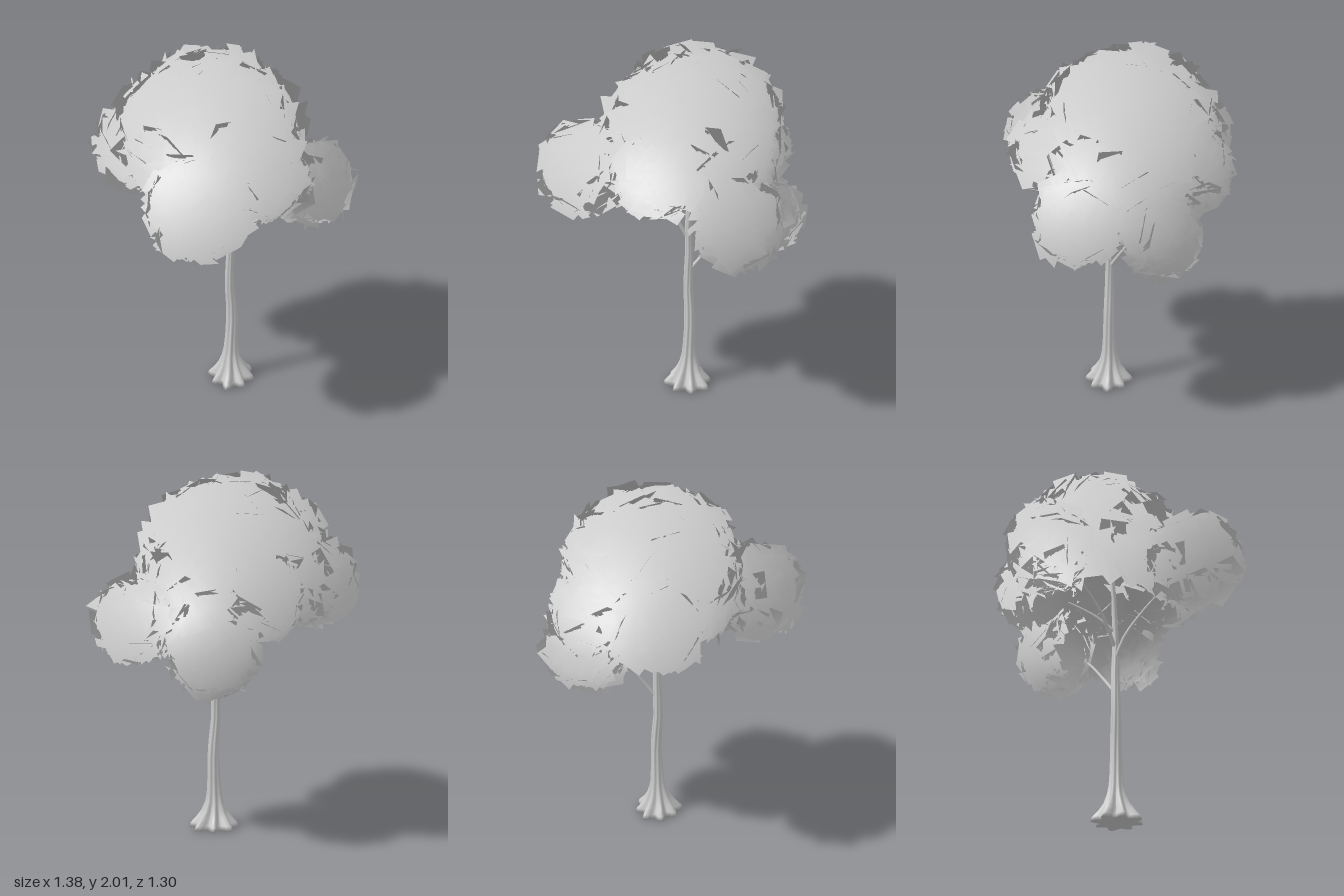
import * as THREE from 'three';

const grey = new THREE.MeshStandardMaterial({ color: 0xcccccc });
const leafGrey = new THREE.MeshStandardMaterial({ color: 0xcccccc, side: THREE.DoubleSide });

// all leaf cards are shaded as one round mass about this point
const SHADE_CENTRE = new THREE.Vector3(0, 0.95, 0);

// small seeded generator, returns -1..1
let seed = 7;
function jitter() {
  seed = (seed * 16807) % 2147483647;
  return (seed / 2147483647) * 2 - 1;
}

// trunk levels: y, centre x, centre z, radius, depth of the root lobes
const LEVELS = [
  [0, 0.003, 0.03, 0.118, 0.2], [0.025, 0.003, 0.03, 0.108, 0.22], [0.06, 0.002, 0.03, 0.084, 0.2],
  [0.1, 0.002, 0.028, 0.063, 0.16], [0.15, 0.003, 0.025, 0.047, 0.12], [0.2, 0.005, 0.025, 0.039, 0.09],
  [0.28, 0.008, 0.025, 0.034, 0.08], [0.4, 0.012, 0.025, 0.031, 0.08], [0.5, 0.008, 0.024, 0.029, 0.08],
  [0.62, -0.003, 0.022, 0.026, 0.07], [0.74, -0.001, 0.02, 0.024, 0.06], [0.86, 0.004, 0.02, 0.022, 0.04],
  [1.0, 0.001, 0.023, 0.019, 0.04], [1.12, 0.004, 0.02, 0.017, 0.03],
  [1.3, -0.01, 0.01, 0.013, 0], [1.55, -0.03, -0.02, 0.006, 0],
];

// lofted trunk with eight root lobes that fade and twist upward
function trunkGeometry() {
  const sides = 48;
  const pos = [], index = [];
  LEVELS.forEach(([y, cx, cz, r, lobe]) => {
    for (let i = 0; i < sides; i++) {
      const a = (i / sides) * Math.PI * 2;
      const k = r * (1 + lobe * Math.cos(8 * a + y * 5) + lobe * 0.3 * Math.sin(3 * a + 1));
      pos.push(cx + Math.cos(a) * k, y, cz + Math.sin(a) * k);
    }
  });
  for (let j = 0; j < LEVELS.length - 1; j++) {
    for (let i = 0; i < sides; i++) {
      const n = (i + 1) % sides;
      const a = j * sides + i, b = j * sides + n, c = a + sides, d = b + sides;
      index.push(a, c, b, b, c, d);
    }
  }
  // hollowed underside
  const centre = pos.length / 3;
  pos.push(0, 0.03, 0.03);
  for (let i = 0; i < sides; i++) index.push(centre, i, (i + 1) % sides);
  const g = new THREE.BufferGeometry();
  g.setAttribute('position', new THREE.Float32BufferAttribute(pos, 3));
  g.setIndex(index);
  g.computeVertexNormals();
  return g;
}

// tapered branch: a tube whose rings shrink toward the tip
function branchGeometry(points, r0, r1) {
  const curve = new THREE.CatmullRomCurve3(points.map((p) => new THREE.Vector3(...p)));
  const segs = 10, sides = 8;
  const g = new THREE.TubeGeometry(curve, segs, 1, sides);
  const p = g.attributes.position, v = new THREE.Vector3();
  for (let i = 0; i < p.count; i++) {
    const t = Math.floor(i / (sides + 1)) / segs;
    const c = curve.getPointAt(t);
    v.fromBufferAttribute(p, i).sub(c).multiplyScalar(r0 + (r1 - r0) * t).add(c);
    p.setXYZ(i, v.x, v.y, v.z);
  }
  return g;
}

// shell of overlapping leaf cards around a slightly boxy ellipsoid, open below the floor height
function foliageGeometry(centre, radii, count, size, floor) {
  const c = new THREE.Vector3(...centre), r = new THREE.Vector3(...radii);
  const pos = [], nor = [], index = [];
  const card = new THREE.Object3D();
  for (let i = 0; i < count; i++) {
    const y = 1 - ((i + 0.5) / count) * (1 - floor);
    const a = i * 2.39996 + jitter() * 0.15;
    const ring = Math.sqrt(1 - y * y);
    const dir = new THREE.Vector3(Math.cos(a) * ring, y, Math.sin(a) * ring);
    const bulge = 1.1 - 0.1 * (dir.x ** 4 + dir.y ** 4 + dir.z ** 4);
    card.position.copy(dir).multiply(r).multiplyScalar(bulge * (0.95 + 0.05 * jitter())).add(c);
    card.up.set(jitter(), jitter(), jitter()).normalize();
    card.lookAt(card.position.clone().add(dir.clone().divide(r)));
    // most cards lie nearly flat on the mass, a few stand steeply
    card.rotateX(jitter() ** 3 * 0.9);
    card.rotateY(jitter() ** 3 * 0.9);
    card.updateMatrix();
    const h = (size / 2) * (1 + 0.15 * jitter());
    const first = pos.length / 3;
    for (const [u, w] of [[-h, -h], [h, -h], [h, h], [-h, h]]) {
      const q = new THREE.Vector3(u, w, 0).applyMatrix4(card.matrix);
      pos.push(q.x, q.y, q.z);
      const n = q.sub(SHADE_CENTRE).normalize();
      nor.push(n.x, n.y, n.z);
    }
    index.push(first, first + 1, first + 2, first, first + 2, first + 3);
  }
  const g = new THREE.BufferGeometry();
  g.setAttribute('position', new THREE.Float32BufferAttribute(pos, 3));
  g.setAttribute('normal', new THREE.Float32BufferAttribute(nor, 3));
  g.setIndex(index);
  return g;
}

export function createModel() {
  seed = 7;
  const tree = new THREE.Group();
  tree.name = 'tree';
  const add = (name, geometry, material) => {
    const m = new THREE.Mesh(geometry, material);
    m.name = name;
    tree.add(m);
  };

  add('trunk', trunkGeometry(), grey);

  // branches reaching into each leaf mass
  const branches = {
    lowBackBranch: [[0.0, 0.73, 0.02], [0.06, 0.83, -0.03], [0.14, 0.96, -0.11], [0.28, 1.08, -0.24]],
    frontBranch: [[0.0, 0.93, 0.02], [-0.05, 1.05, 0.06], [-0.13, 1.17, 0.14], [-0.36, 1.36, 0.32]],
    leftBranch: [[0.0, 1.06, 0.02], [0.06, 1.18, 0.04], [0.15, 1.24, 0.07], [0.36, 1.28, 0.14]],
    backBranch: [[0.0, 1.1, 0.02], [0.02, 1.2, -0.1], [0.07, 1.33, -0.34]],
    rightBackBranch: [[0.0, 1.0, 0.02], [-0.06, 1.15, -0.06], [-0.13, 1.26, -0.16], [-0.3, 1.4, -0.36]],
    crownBranch: [[0.0, 1.2, 0.02], [0.05, 1.45, 0.02], [0.1, 1.75, -0.02]],
  };
  for (const [name, points] of Object.entries(branches)) add(name, branchGeometry(points, 0.012, 0.004), grey);

  // leaf masses: centre, radii, number of cards, card size, lowest height on the unit sphere
  const masses = {
    crownFoliage: [[-0.04, 1.49, -0.08], [0.435, 0.465, 0.46], 700, 0.14, -0.5],
    frontRightFoliage: [[-0.42, 1.37, 0.36], [0.225, 0.23, 0.235], 220, 0.13, -1],
    frontFoliage: [[0.03, 1.42, 0.32], [0.19, 0.2, 0.205], 150, 0.13, -1],
    leftFoliage: [[0.44, 1.21, 0.17], [0.195, 0.205, 0.2], 190, 0.13, -1],
    lowBackFoliage: [[0.28, 1.06, -0.26], [0.21, 0.2, 0.19], 190, 0.13, -1],
    backFoliage: [[0.1, 1.36, -0.42], [0.18, 0.2, 0.195], 170, 0.13, -1],
    rightBackFoliage: [[-0.33, 1.4, -0.41], [0.21, 0.22, 0.205], 200, 0.13, -1],
    upperBackFoliage: [[-0.27, 1.62, -0.16], [0.22, 0.23, 0.27], 150, 0.13, -0.4],
  };
  for (const [name, args] of Object.entries(masses)) add(name, foliageGeometry(...args), leafGrey);

  return tree;
}
